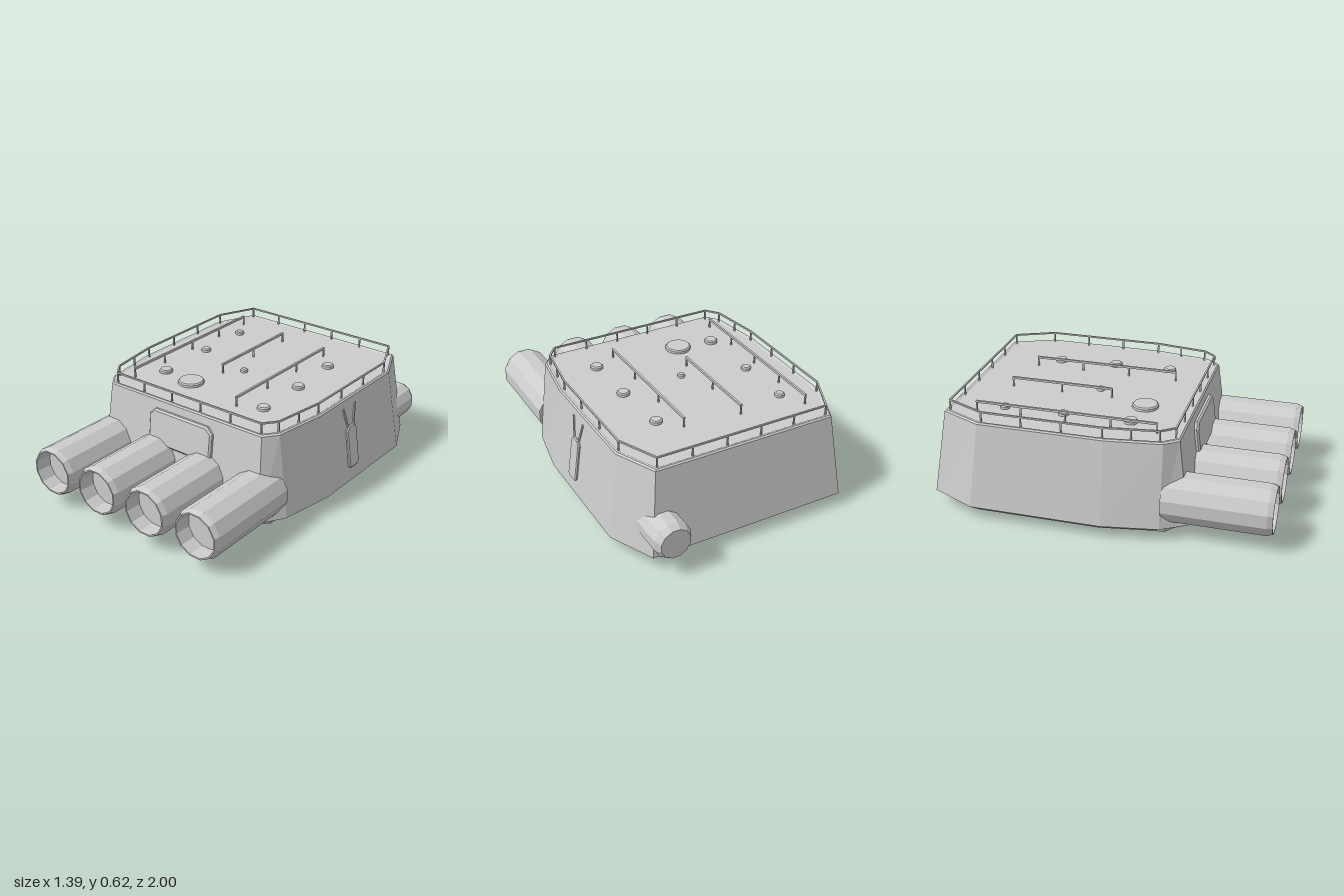
import * as THREE from 'three';

const grey = new THREE.MeshStandardMaterial({ color: 0xcccccc });
grey.name = 'lightGrey';

// Faceted mesh: split vertices so every face keeps its own normal
function faceted(geo, name) {
  const g = geo.index ? geo.toNonIndexed() : geo;
  g.computeVertexNormals();
  const m = new THREE.Mesh(g, grey);
  m.name = name;
  return m;
}

// Full outline from the +x half, listed front to back as [x, z]
const mirror = (half) => [...half, ...half.map(([x, z]) => [-x, z]).reverse()];

// Shrink an outline by roughly d about its middle
const inset = (outline, d) => outline.map(([x, z]) => [x * (1 - d / 0.63), -0.17 + (z + 0.17) * (1 - d / 0.66)]);

// Closed loft through outlines stacked in y: [[y, outline], ...]
function loft(sections, name) {
  const pos = [], idx = [], n = sections[0][1].length;
  for (const [y, o] of sections) for (const [x, z] of o) pos.push(x, y, z);
  for (let s = 0; s < sections.length - 1; s++) {
    for (let i = 0; i < n; i++) {
      const a = s * n + i, b = s * n + (i + 1) % n;
      idx.push(a, b, b + n, a, b + n, a + n);
    }
  }
  const t = (sections.length - 1) * n;
  for (let i = 1; i < n - 1; i++) idx.push(0, i + 1, i, t, t + i, t + i + 1);
  const g = new THREE.BufferGeometry();
  g.setAttribute('position', new THREE.Float32BufferAttribute(pos, 3));
  g.setIndex(idx);
  return faceted(g, name);
}

// Twelve-sided turned part along z, profile as [radius, z]
function turned(profile, name) {
  const pts = profile.map(([r, z]) => new THREE.Vector2(r, z));
  const g = new THREE.LatheGeometry(pts, 12, Math.PI / 12);
  g.rotateX(Math.PI / 2);
  return faceted(g, name);
}

// Square bar between two points
function bar(a, b, t, name) {
  const m = new THREE.Mesh(new THREE.BoxGeometry(t, t, a.distanceTo(b) + t * 0.5), grey);
  m.position.copy(a).lerp(b, 0.5);
  m.lookAt(b);
  m.name = name;
  return m;
}

// Handrail along a path of [x, z] points, with evenly spaced posts
function handrail(path, y0, y1, thickness, spacing, name) {
  const g = new THREE.Group();
  g.name = name;
  for (let i = 0; i < path.length - 1; i++) {
    const a = new THREE.Vector3(path[i][0], y1, path[i][1]);
    const b = new THREE.Vector3(path[i + 1][0], y1, path[i + 1][1]);
    g.add(bar(a, b, thickness, 'rail'));
    const n = Math.max(1, Math.round(a.distanceTo(b) / spacing));
    for (let k = 0; k <= n; k++) {
      const p = a.clone().lerp(b, k / n);
      g.add(bar(new THREE.Vector3(p.x, y0, p.z), p, 0.008, 'post'));
    }
  }
  return g;
}

// Extruded plate with a bevelled front edge
function plate(points, depth, bevel, name) {
  const shape = new THREE.Shape(points.map(([x, y]) => new THREE.Vector2(x, y)));
  const g = new THREE.ExtrudeGeometry(shape, {
    depth, bevelEnabled: true, bevelThickness: bevel, bevelSize: bevel, bevelOffset: -bevel, bevelSegments: 1,
  });
  return faceted(g, name);
}

export function createModel() {
  const model = new THREE.Group();
  model.name = 'gunTurret';

  // Armoured housing with chamfered underside and a lipped roof
  const belt = mirror([[0.555, 0.547], [0.64, 0.41], [0.695, 0.10], [0.695, -0.64], [0.575, -0.895]]);
  const top = mirror([[0.525, 0.485], [0.585, 0.41], [0.63, 0.10], [0.63, -0.60], [0.525, -0.83]]);
  model.add(loft([
    [0.038, inset(belt, 0.042)], [0.075, belt], [0.552, top],
    [0.56, inset(top, 0.008)], [0.56, inset(top, 0.018)], [0.556, inset(top, 0.024)],
  ], 'housing'));

  // Base ring under the housing
  const base = mirror([[0.455, 0.51], [0.555, 0.43], [0.555, -0.43], [0.455, -0.635]]);
  model.add(loft([[0, inset(base, 0.02)], [0.045, base]], 'base'));

  // Four short barrels with recessed muzzles
  for (const x of [-0.504, -0.17, 0.166, 0.504]) {
    const barrel = turned([[0, 0.41], [0.142, 0.41], [0.142, 0.97], [0.13, 1.0], [0.122, 1.0],
      [0.116, 0.91], [0, 0.91]], 'barrel');
    barrel.position.set(x, 0.213, 0);
    model.add(barrel);
  }

  // Rear stub cylinder on the left corner
  const stub = turned([[0, -1.0], [0.085, -1.0], [0.106, -0.965], [0.106, -0.77], [0, -0.77]], 'rearStub');
  stub.position.set(0.502, 0.215, 0);
  model.add(stub);

  // Sloped plate on the front face
  const front = plate([[-0.218, 0], [0.218, 0], [0.218, 0.168], [0.183, 0.203], [-0.183, 0.203], [-0.218, 0.168]],
    0.025, 0.01, 'frontPlate');
  front.rotation.x = -0.123;
  front.position.set(0, 0.304, 0.504);
  model.add(front);

  // Left side fitting: upright plate with two splayed strips above
  const fitting = new THREE.Group();
  fitting.name = 'sideFitting';
  fitting.add(plate([[-0.033, 0], [0.033, 0], [0.047, 0.015], [0.047, 0.225], [0.03, 0.25],
    [-0.03, 0.25], [-0.047, 0.225], [-0.047, 0.015]], 0.011, 0.006, 'fittingPlate'));
  for (const s of [-1, 1]) {
    const a = new THREE.Vector3(s * 0.026, 0.24, 0.005);
    const b = new THREE.Vector3(s * 0.058, 0.36, 0.005);
    fitting.add(bar(a, b, 0.011, 'fittingStrip'));
  }
  fitting.rotation.set(-0.136, Math.PI / 2, 0, 'YXZ');
  fitting.position.set(0.681, 0.152, -0.165);
  model.add(fitting);

  // Roof hatches and vents: x, z, radius
  const hatches = [[-0.40, -0.525, 0.027], [-0.395, -0.19, 0.028], [-0.385, 0.185, 0.038], [-0.03, -0.09, 0.021],
    [-0.175, 0.21, 0.074], [0.315, -0.44, 0.034], [0.34, -0.105, 0.036], [0.345, 0.225, 0.036]];
  for (const [x, z, r] of hatches) {
    const pts = [[r, 0], [r, 0.015], [r - 0.007, 0.022], [0, 0.022]].map((p) => new THREE.Vector2(...p));
    const hatch = faceted(new THREE.LatheGeometry(pts, 16), 'hatch');
    hatch.position.set(x, 0.555, z);
    model.add(hatch);
  }

  // Railing around the roof edge and three bars along the roof
  const edge = inset(top, 0.026);
  model.add(handrail([...edge, edge[0]], 0.552, 0.614, 0.009, 0.2, 'roofRailing'));
  for (const [x, z0, z1] of [[-0.473, -0.66, 0.35], [-0.115, -0.585, 0], [0.21, -0.55, 0.29]]) {
    model.add(handrail([[x, z0], [x, z1]], 0.552, 0.61, 0.012, 0.28, 'roofBar'));
  }

  return model;
}
